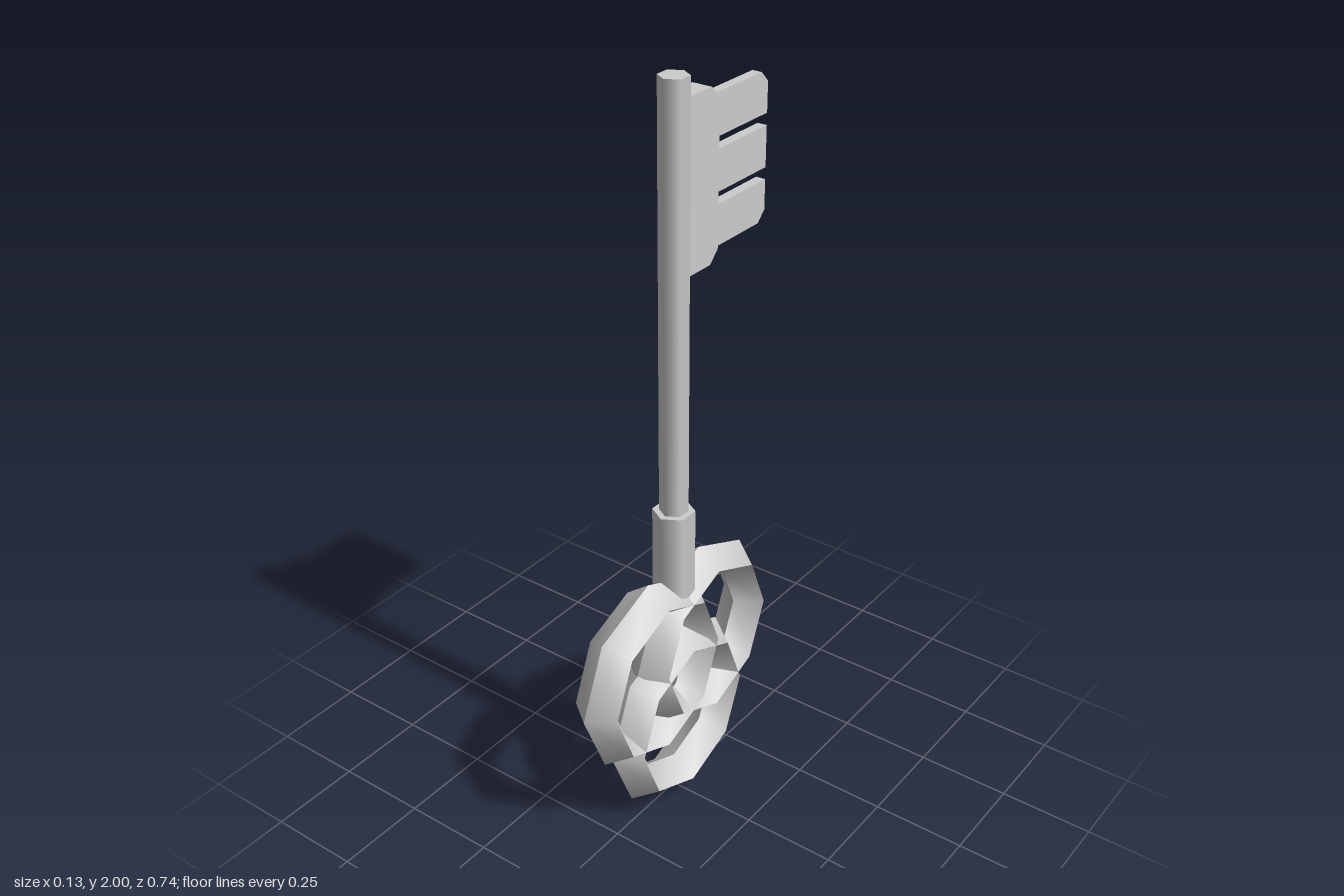
import * as THREE from 'three';
import { toCreasedNormals } from 'three/addons/utils/BufferGeometryUtils.js';

const material = new THREE.MeshStandardMaterial({ color: 0xcccccc });

function add(parent, name, geometry, x = 0, y = 0, z = 0) {
  const mesh = new THREE.Mesh(geometry, material);
  mesh.name = name;
  mesh.position.set(x, y, z);
  parent.add(mesh);
  return mesh;
}

// Hexagonal rod standing between two heights
function addRod(parent, name, radius, y0, y1) {
  add(parent, name, new THREE.CylinderGeometry(radius, radius, y1 - y0, 6), 0, (y0 + y1) / 2, 0);
}

// Flat plate reaching backwards from z = -near to z = -far, outer corners cut
function plateGeometry(near, far, y0, y1, thickness, cutBottom, cutTop) {
  const shape = new THREE.Shape();
  shape.moveTo(near, y0);
  shape.lineTo(far - cutBottom, y0);
  if (cutBottom) shape.lineTo(far, y0 + cutBottom);
  shape.lineTo(far, y1 - cutTop);
  if (cutTop) shape.lineTo(far - cutTop, y1);
  shape.lineTo(near, y1);
  shape.closePath();
  return new THREE.ExtrudeGeometry(shape, { depth: thickness, bevelEnabled: false })
    .translate(0, 0, -thickness / 2)
    .rotateY(Math.PI / 2);
}

export function createModel() {
  const key = new THREE.Group();
  key.name = 'key';

  // Handle: three interlocking octagonal rings with a diamond section
  const bow = new THREE.Group();
  bow.name = 'bow';
  key.add(bow);
  const ring = toCreasedNormals(
    new THREE.TorusGeometry(0.215, 0.05, 4, 8).scale(1, 1, 1.32).rotateY(Math.PI / 2), 0.9);
  add(bow, 'bottomRing', ring, 0, 0.27, 0);
  add(bow, 'frontRing', ring, 0, 0.462, 0.107);
  add(bow, 'backRing', ring, 0, 0.462, -0.107);

  // Stem
  addRod(key, 'collar', 0.054, 0.645, 0.895);
  addRod(key, 'shank', 0.037, 0.85, 2);

  // Bit with three teeth
  const bit = new THREE.Group();
  bit.name = 'bit';
  key.add(bit);
  add(bit, 'bitPlate', plateGeometry(0.015, 0.135, 1.525, 1.95, 0.054, 0.03, 0.03));
  for (let i = 0; i < 3; i++) {
    const y = 1.552 + i * 0.134;
    add(bit, 'tooth', plateGeometry(0.12, 0.348, y, y + 0.104, 0.026,
      i === 0 ? 0.027 : 0, i === 2 ? 0.027 : 0));
  }

  return key;
}
